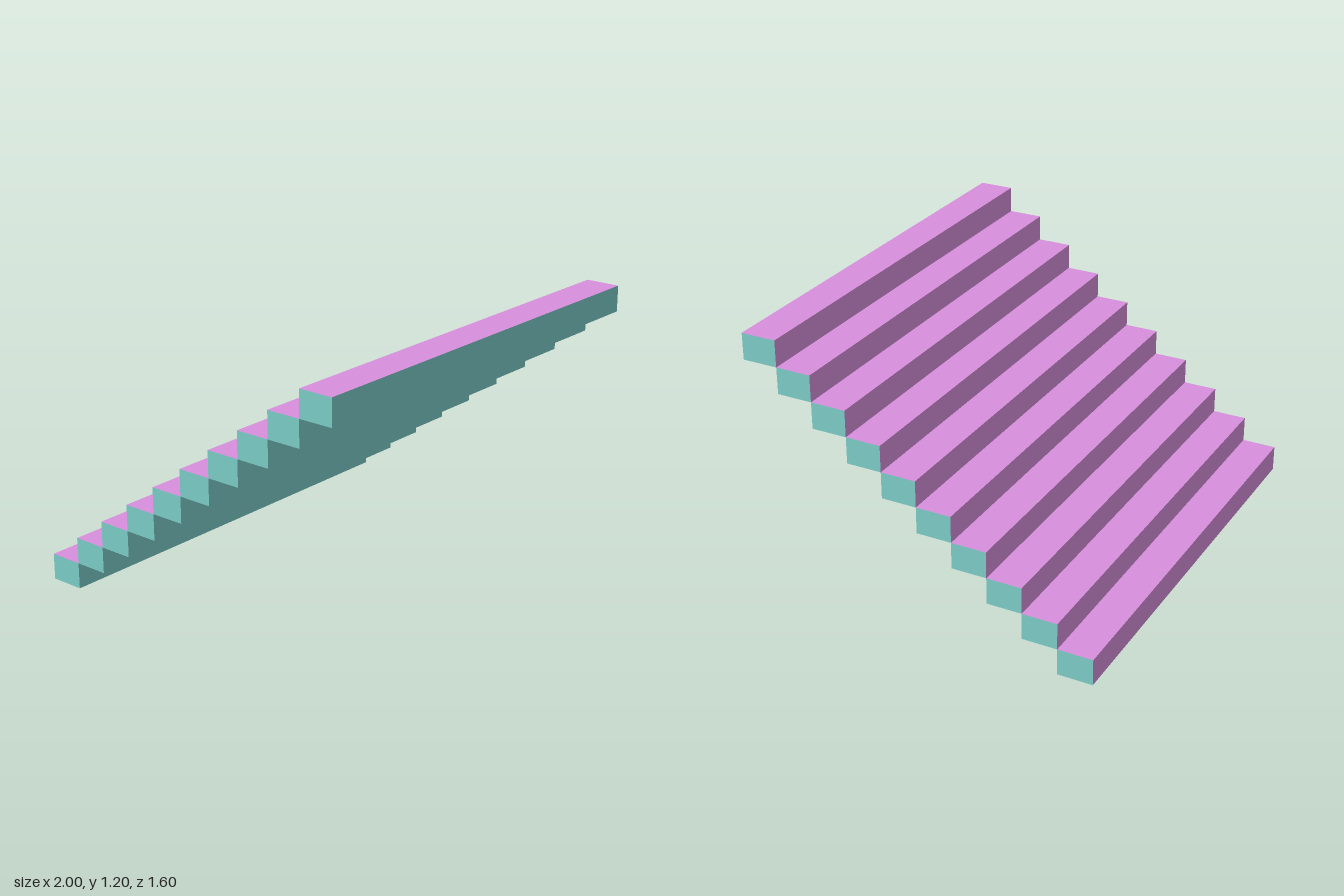
import * as THREE from 'three';

const COUNT = 10, WIDTH = 2, RISE = 0.12, RUN = 0.16;

export function createModel() {
  const group = new THREE.Group();
  group.name = 'staircase';

  const body = new THREE.MeshStandardMaterial({ color: 0x7bcac6 });
  const tread = new THREE.MeshStandardMaterial({ color: 0xd88fdc });
  // Face order: +x, -x, top, bottom, front, back; tread and riser share a colour
  const materials = [body, body, tread, body, body, tread];
  const geometry = new THREE.BoxGeometry(WIDTH, RISE, RUN);

  // Steps climb from the back towards the front, touching edge to edge
  for (let i = 0; i < COUNT; i++) {
    const step = new THREE.Mesh(geometry, materials);
    step.name = `step${i + 1}`;
    step.position.set(0, (i + 0.5) * RISE, (i + 0.5 - COUNT / 2) * RUN);
    group.add(step);
  }
  return group;
}
